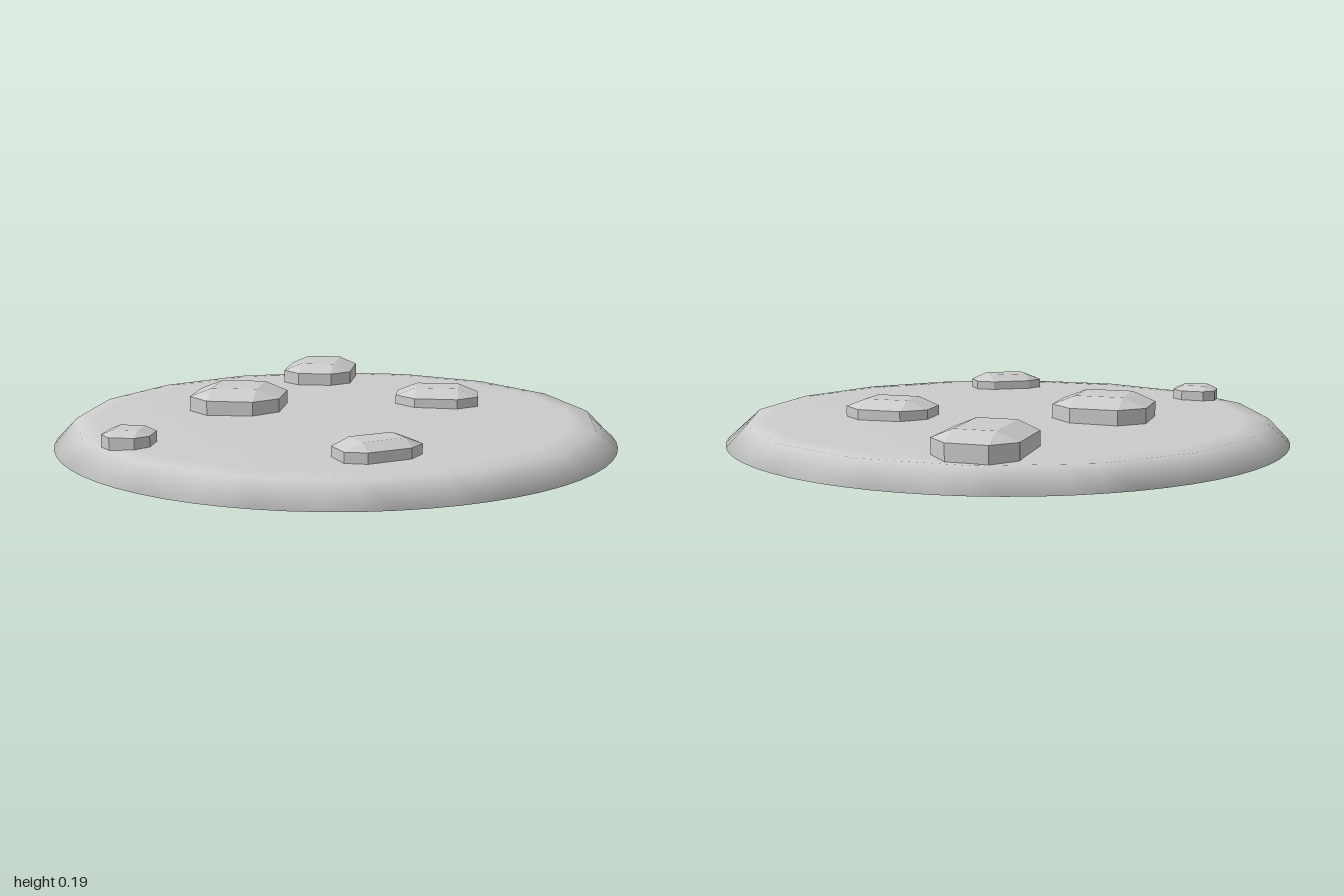
import * as THREE from 'three';
import { mergeVertices } from 'three/addons/utils/BufferGeometryUtils.js';
import { ConvexGeometry } from 'three/addons/geometries/ConvexGeometry.js';

// Round slab: a lathe whose inner rings are drawn in to a 16-sided polygon
function makeSlab() {
  const profile = [
    [0, 0], [0.86, 0], [0.93, 0.008], [1, 0.025],
    [0.93, 0.097], [0.85, 0.102], [0.5, 0.108], [0, 0.114],
  ].map(([r, y]) => new THREE.Vector2(r, y));
  let geo = new THREE.LatheGeometry(profile, 64);
  const pos = geo.attributes.position;
  const step = Math.PI / 8;
  for (let i = 0; i < pos.count; i++) {
    const x = pos.getX(i), z = pos.getZ(i);
    if (Math.hypot(x, z) > 0.95) continue;
    const angle = Math.atan2(z, x) + Math.PI * 2;
    const offset = ((angle + step / 2) % step) - step / 2;
    const k = Math.cos(step / 2) / Math.cos(offset);
    pos.setX(i, x * k);
    pos.setZ(i, z * k);
  }
  geo.deleteAttribute('normal');
  geo.deleteAttribute('uv');
  geo = mergeVertices(geo, 1e-5);
  geo.computeVertexNormals();
  return geo;
}

// Stone: octagonal wall (half size hx, hz) bevelled up to a flat rectangle (a, b)
function makeStone({ hx, hz, a, b, mid, top }) {
  const points = [];
  for (const sx of [-1, 1]) {
    for (const sz of [-1, 1]) {
      for (const y of [0.09, mid]) {
        points.push(new THREE.Vector3(sx * hx, y, sz * b));
        points.push(new THREE.Vector3(sx * a, y, sz * hz));
      }
      points.push(new THREE.Vector3(sx * a, top, sz * b));
    }
  }
  return new ConvexGeometry(points);
}

export function createModel() {
  const group = new THREE.Group();
  group.name = 'stoneDisc';

  const slab = new THREE.Mesh(makeSlab(), new THREE.MeshStandardMaterial({ color: 0xcccccc }));
  slab.name = 'slab';
  group.add(slab);

  const stoneMaterial = new THREE.MeshStandardMaterial({ color: 0xcccccc, flatShading: true });
  const stones = [
    { x: -0.365, z: -0.035, hx: 0.165, hz: 0.165, a: 0.083, b: 0.086, mid: 0.16, top: 0.193 },
    { x: -0.158, z: -0.712, hx: 0.138, hz: 0.178, a: 0.067, b: 0.107, mid: 0.154, top: 0.184 },
    { x: 0.357, z: -0.222, hx: 0.153, hz: 0.122, a: 0.078, b: 0.056, mid: 0.143, top: 0.172 },
    { x: -0.595, z: 0.57, hx: 0.08, hz: 0.08, a: 0.041, b: 0.04, mid: 0.138, top: 0.155 },
    { x: 0.21, z: 0.635, hx: 0.135, hz: 0.085, a: 0.075, b: 0.045, mid: 0.138, top: 0.162, turn: 0.58 },
  ];
  stones.forEach((s, i) => {
    const stone = new THREE.Mesh(makeStone(s), stoneMaterial);
    stone.name = `stone${i + 1}`;
    stone.position.set(s.x, 0, s.z);
    stone.rotation.y = s.turn ?? 0;
    group.add(stone);
  });
  return group;
}
